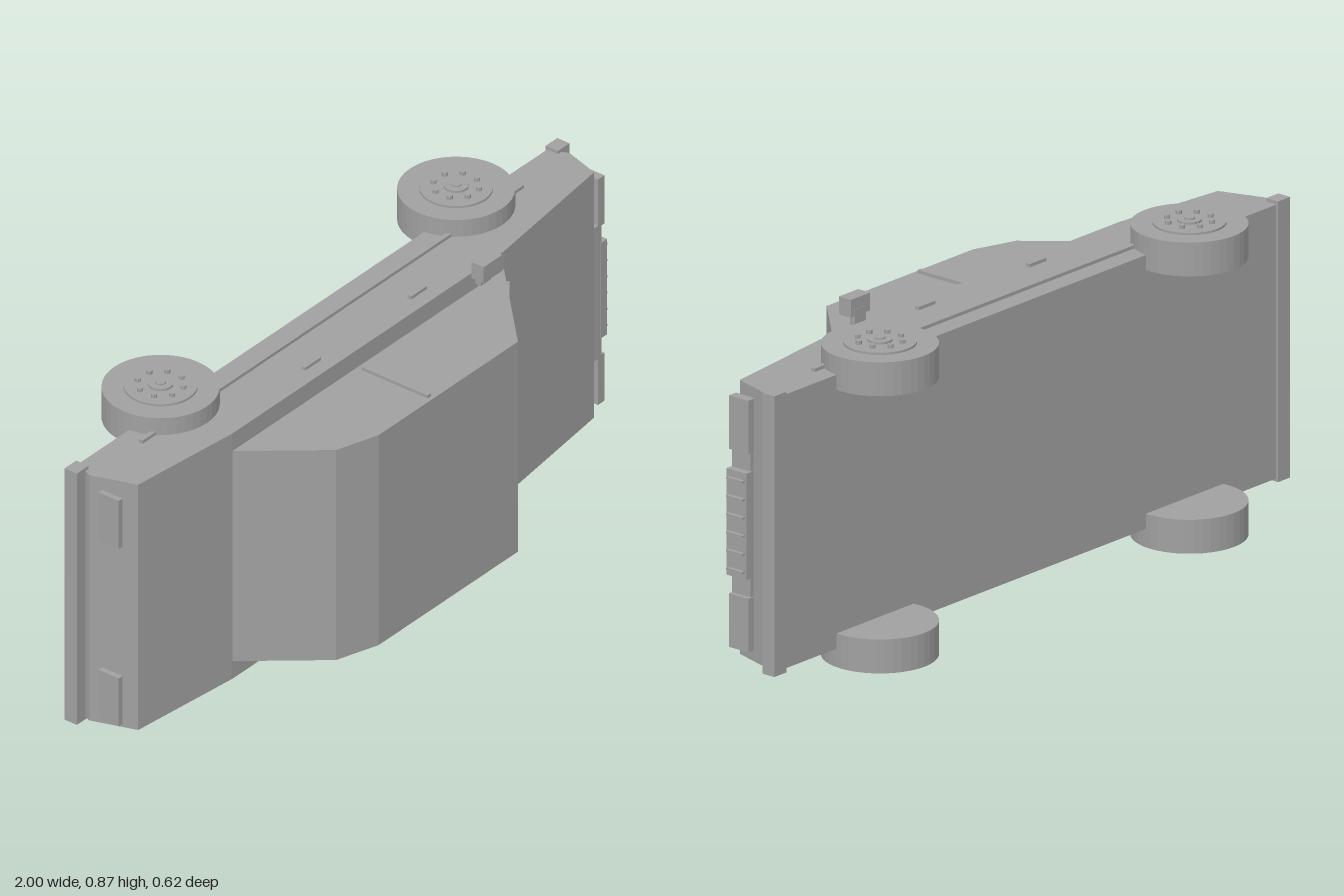
import * as THREE from 'three';

const paint = new THREE.MeshStandardMaterial({ color: 0xa0a0a0 });
paint.name = 'grey';
paint.flatShading = true;

// The car is built upright (x length, y height, z width) and then laid on its side.
export function createModel() {
  const model = new THREE.Group();
  const car = new THREE.Group();
  car.name = 'car';
  car.rotation.x = Math.PI / 2;
  car.position.y = 0.434;
  model.add(car);

  const add = (name, geometry, parent = car) => {
    const mesh = new THREE.Mesh(geometry, paint);
    mesh.name = name;
    parent.add(mesh);
    return mesh;
  };
  // Box given by its limits on each axis
  const box = (name, x0, x1, y0, y1, z0, z1) => {
    const mesh = add(name, new THREE.BoxGeometry(x1 - x0, y1 - y0, z1 - z0));
    mesh.position.set((x0 + x1) / 2, (y0 + y1) / 2, (z0 + z1) / 2);
    return mesh;
  };
  // The same box on both sides of the car
  const pair = (name, x0, x1, y0, y1, z0, z1) => {
    box(name, x0, x1, y0, y1, z0, z1);
    box(name, x0, x1, y0, y1, -z1, -z0);
  };
  // Side profile extruded across the width
  const prism = (name, points, width) => {
    const shape = new THREE.Shape(points.map(([x, y]) => new THREE.Vector2(x, y)));
    const geometry = new THREE.ExtrudeGeometry(shape, { depth: width, bevelEnabled: false });
    geometry.translate(0, 0, -width / 2);
    return add(name, geometry);
  };

  // Lower body and cabin
  prism('body', [[-0.95, -0.145], [0.95, -0.145], [0.972, -0.09], [0.94, 0.015],
    [0.505, 0.07], [-0.596, 0.07], [-0.933, 0.035], [-0.975, -0.09]], 0.736);
  prism('cabin', [[-0.596, 0.069], [0.507, 0.069], [0.26, 0.312], [-0.305, 0.312],
    [-0.427, 0.272]], 0.63);
  prism('windscreenTrim', [[0.385, 0.185], [0.37, 0.17], [0.49, 0.075], [0.508, 0.087]], 0.57);
  pair('doorPillar', -0.092, -0.078, 0.087, 0.3, 0.31, 0.324);

  // Bumpers
  box('frontBumper', 0.95, 0.997, -0.15, -0.11, -0.377, 0.377);
  box('rearBumper', -1, -0.953, -0.15, -0.11, -0.377, 0.377);

  // Grille with slats
  box('grillePanel', 0.93, 0.97, -0.047, 0.015, -0.2, 0.2);
  box('grille', 0.965, 0.99, -0.05, 0.017, -0.144, 0.142);
  for (let i = 0; i < 6; i++) {
    const z = -0.122 + i * 0.0488;
    box('grilleSlat', 0.985, 1, -0.045, 0.01, z - 0.003, z + 0.003);
  }

  // Lamps
  pair('headlight', 0.955, 0.982, -0.05, 0.015, 0.194, 0.338);
  pair('tailLight', -0.987, -0.972, -0.05, 0.015, 0.194, 0.338);

  // Side trim, door handles and mirrors
  pair('sideTrim', -0.775, 0.77, -0.09, -0.077, 0.36, 0.377);
  for (const x of [-0.216, 0.214]) pair('doorHandle', x - 0.032, x + 0.032, 0.016, 0.029, 0.36, 0.377);
  pair('mirrorStem', 0.363, 0.405, 0.092, 0.109, 0.35, 0.396);
  pair('mirror', 0.345, 0.42, 0.093, 0.133, 0.377, 0.425);

  // Wheels: tyre, rim, hub and a ring of bolts
  const disc = (name, radius, z0, z1, sides, parent, x = 0, y = 0) => {
    const geometry = new THREE.CylinderGeometry(radius, radius, z1 - z0, sides);
    geometry.rotateX(Math.PI / 2);
    add(name, geometry, parent).position.set(x, y, (z0 + z1) / 2);
  };
  for (const x of [-0.597, 0.601]) {
    for (const side of [1, -1]) {
      const wheel = new THREE.Group();
      wheel.name = 'wheel';
      wheel.position.set(x, -0.161, 0);
      if (side < 0) wheel.rotation.y = Math.PI;
      car.add(wheel);
      disc('tyre', 0.15, 0.327, 0.418, 40, wheel);
      disc('rim', 0.094, 0.41, 0.424, 32, wheel);
      disc('hub', 0.032, 0.42, 0.43, 16, wheel);
      disc('hubCap', 0.014, 0.425, 0.434, 8, wheel);
      for (let i = 0; i < 8; i++) {
        const a = (i + 0.5) * Math.PI / 4;
        disc('bolt', 0.008, 0.42, 0.434, 8, wheel, 0.06 * Math.cos(a), 0.06 * Math.sin(a));
      }
    }
  }
  return model;
}
